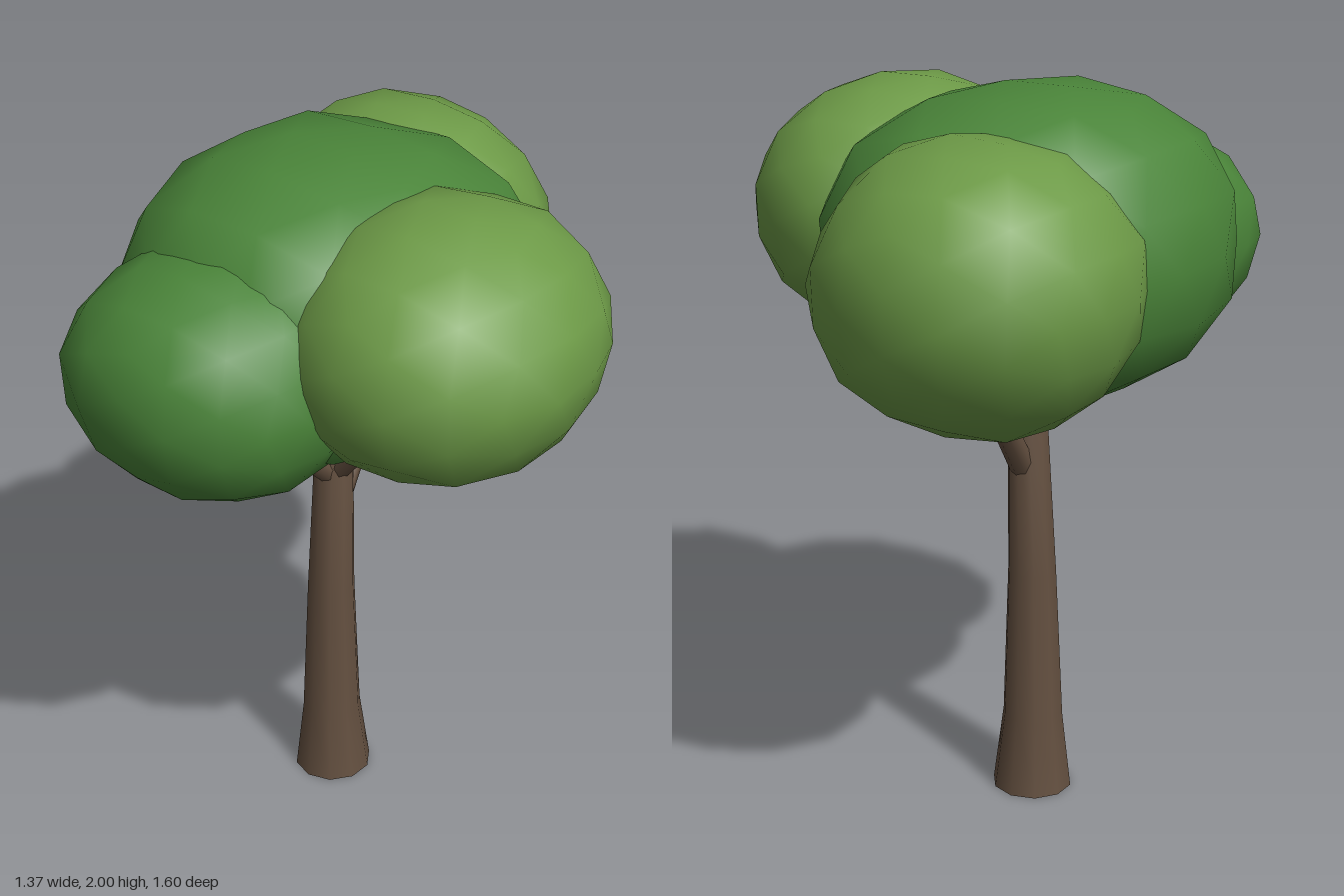
import * as THREE from 'three';
import { mergeVertices } from 'three/addons/utils/BufferGeometryUtils.js';

const bark = new THREE.MeshStandardMaterial({ color: 0x645040, side: THREE.DoubleSide });
const darkLeaf = new THREE.MeshStandardMaterial({ color: 0x4a8439 });
const lightLeaf = new THREE.MeshStandardMaterial({ color: 0x6d9a47 });

// Lumpy ball fitted to the box from min to max; power 2 is round, more is boxier.
// The ball swells towards the bulge direction.
function leafBall(name, min, max, power, bulge, seed, material) {
  let geo = new THREE.IcosahedronGeometry(1, 2);
  geo.deleteAttribute('uv');
  geo.deleteAttribute('normal');
  geo = mergeVertices(geo, 1e-3);
  const pos = geo.attributes.position;
  const v = new THREE.Vector3();
  const swell = new THREE.Vector3(...bulge).normalize();
  for (let i = 0; i < pos.count; i++) {
    v.fromBufferAttribute(pos, i);
    const norm = (Math.abs(v.x) ** power + Math.abs(v.y) ** power + Math.abs(v.z) ** power) ** (1 / power);
    const lump = 1 + 0.08 * Math.max(0, v.dot(swell)) ** 4
      + 0.015 * Math.sin(7 * v.x + seed) * Math.cos(6 * v.z - seed)
      + 0.012 * Math.sin(8 * v.y + 5 * v.x + 2 * seed);
    v.multiplyScalar(lump / norm);
    pos.setXYZ(i, v.x, v.y, v.z);
  }
  geo.computeBoundingBox();
  const box = geo.boundingBox;
  const size = box.getSize(new THREE.Vector3());
  const lo = new THREE.Vector3(...min);
  const scale = new THREE.Vector3(...max).sub(lo).divide(size);
  geo.translate(-box.min.x, -box.min.y, -box.min.z);
  geo.scale(scale.x, scale.y, scale.z);
  geo.translate(lo.x, lo.y, lo.z);
  geo.computeVertexNormals();
  const mesh = new THREE.Mesh(geo, material);
  mesh.name = name;
  return mesh;
}

// Tapered limb between two points
function branch(name, from, to, r0, r1) {
  const a = new THREE.Vector3(...from), b = new THREE.Vector3(...to);
  const dir = b.clone().sub(a);
  const mesh = new THREE.Mesh(new THREE.CylinderGeometry(r1, r0, dir.length(), 8), bark);
  mesh.position.copy(a).add(b).multiplyScalar(0.5);
  mesh.quaternion.setFromUnitVectors(new THREE.Vector3(0, 1, 0), dir.normalize());
  mesh.name = name;
  return mesh;
}

// Leaning trunk with a flared foot, open underneath
function trunk() {
  const profile = [[0.112, 0], [0.085, 0.22], [0.068, 0.65], [0.055, 1.11], [0, 1.12]];
  const geo = new THREE.LatheGeometry(profile.map(([r, y]) => new THREE.Vector2(r, y)), 10);
  const pos = geo.attributes.position;
  for (let i = 0; i < pos.count; i++) {
    const t = pos.getY(i) / 1.12;
    pos.setX(i, pos.getX(i) - 0.187 + 0.037 * t * t);
    pos.setZ(i, pos.getZ(i) + 0.02 + 0.017 * t);
  }
  const mesh = new THREE.Mesh(geo, bark);
  mesh.name = 'trunk';
  return mesh;
}

export function createModel() {
  const tree = new THREE.Group();
  tree.name = 'tree';
  tree.add(
    trunk(),
    branch('frontBranch', [-0.15, 1.05, 0.06], [-0.19, 1.28, 0.3], 0.036, 0.026),
    branch('sideBranch', [-0.14, 1.05, 0.04], [0.06, 1.27, 0.06], 0.036, 0.026),
    branch('backBranch', [-0.155, 0.95, 0.01], [-0.2, 1.33, -0.3], 0.036, 0.026),
    leafBall('mainFoliage', [-0.68, 1.17, -0.52], [0.33, 2, 0.56], 2.35, [0.7, 0.15, -0.7], 1, darkLeaf),
    leafBall('frontFoliage', [-0.56, 1.2, 0.06], [0.19, 1.84, 0.8], 2.2, [-0.7, 0.1, 0.7], 2.3, darkLeaf),
    leafBall('sideFoliage', [-0.12, 1.27, -0.36], [0.69, 1.97, 0.53], 2.05, [0.3, 0, 0.3], 4.1, lightLeaf),
    leafBall('backFoliage', [-0.68, 1.2, -0.8], [0.14, 1.94, 0.02], 2.15, [-0.7, 0.2, -0.6], 5.2, lightLeaf),
  );
  return tree;
}
